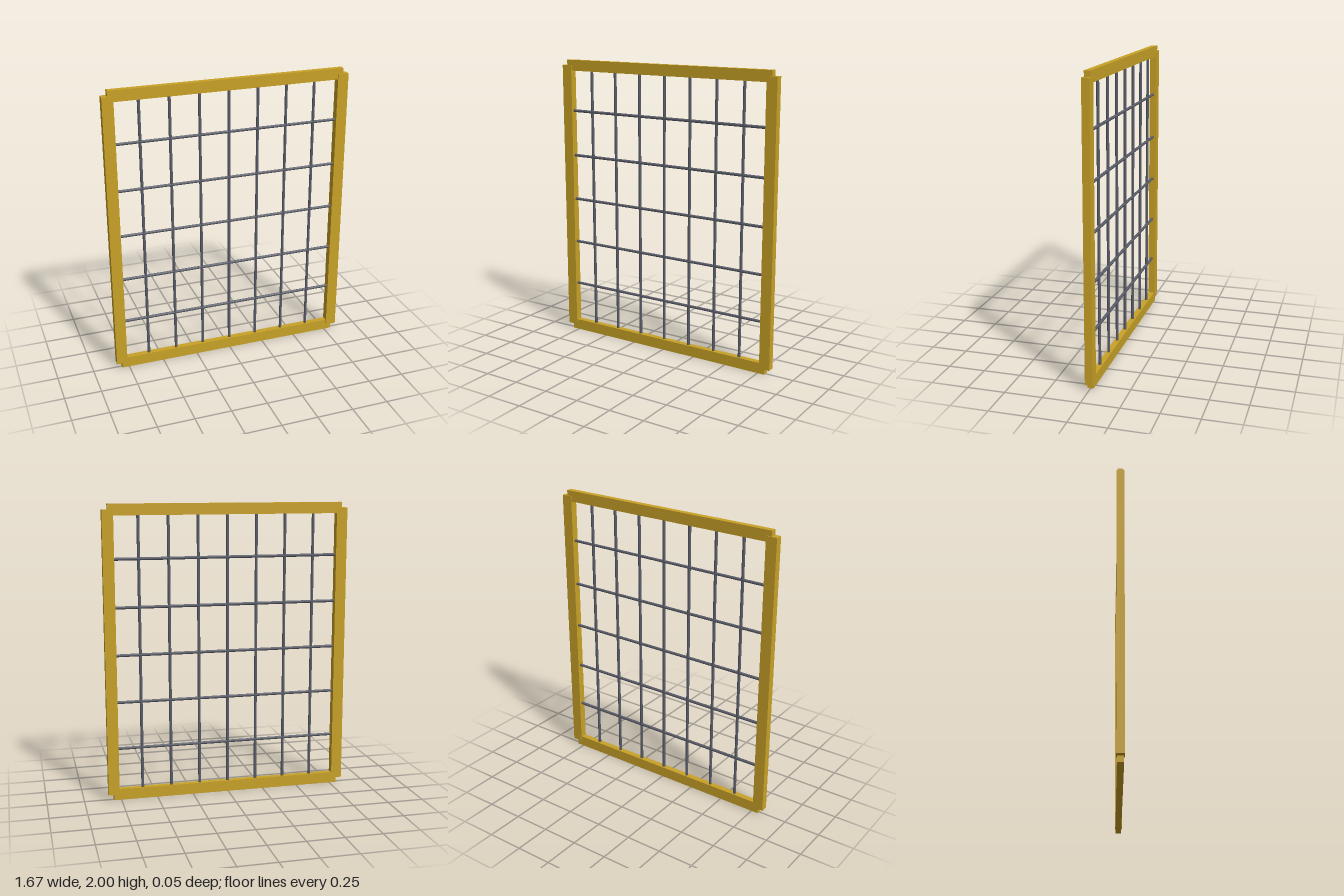
import * as THREE from 'three';

export function createModel() {
  const model = new THREE.Group();
  const gold = new THREE.MeshStandardMaterial({ color: 0xc9a227 });
  gold.name = 'gold';
  const steel = new THREE.MeshStandardMaterial({ color: 0x5c5f6b });
  steel.name = 'steel grey';

  const halfW = 0.8, halfH = 0.9625, midY = 1, width = 0.075;

  function add(name, geometry, material, x, y) {
    const mesh = new THREE.Mesh(geometry, material);
    mesh.name = name;
    mesh.position.set(x, y, 0);
    model.add(mesh);
    return mesh;
  }

  // Frame: thicker side posts overlap the slimmer rails at the corners
  const post = new THREE.BoxGeometry(width, halfH * 2, 0.05);
  const rail = new THREE.BoxGeometry(halfW * 2, width, 0.04);
  add('leftPost', post, gold, halfW, midY);
  add('rightPost', post, gold, -halfW, midY);
  add('topRail', rail, gold, 0, midY + halfH);
  add('bottomRail', rail, gold, 0, midY - halfH);

  // Seven upright rods
  const upright = new THREE.CylinderGeometry(0.01, 0.01, halfH * 2, 8);
  for (let i = -3; i <= 3; i++) add('uprightRod', upright, steel, i * halfW / 4, midY);

  // Five cross rods
  const cross = new THREE.CylinderGeometry(0.01, 0.01, halfW * 2, 8).rotateZ(Math.PI / 2);
  for (let i = -2; i <= 2; i++) add('crossRod', cross, steel, 0, midY + i * halfH / 3);

  return model;
}
